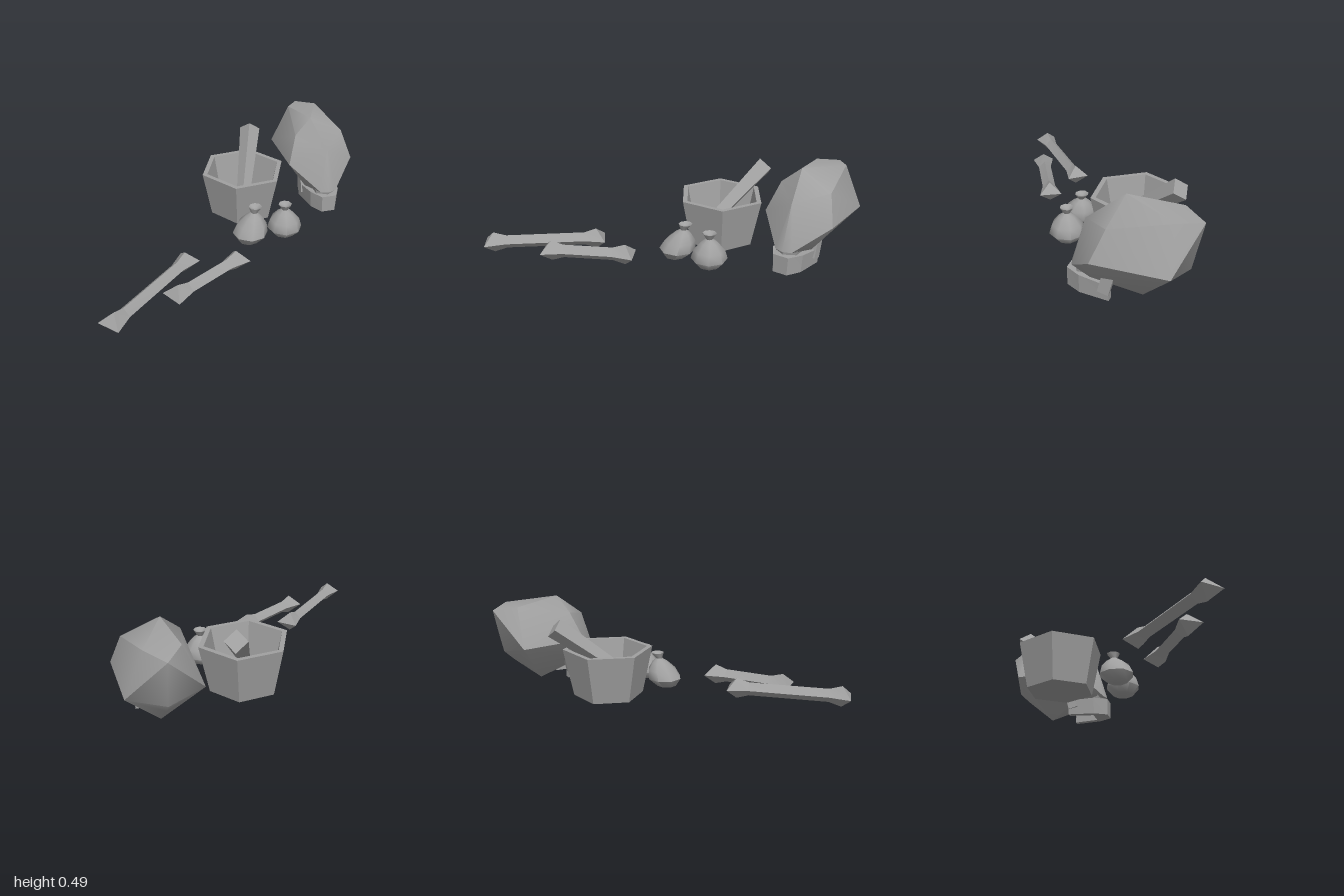
import * as THREE from 'three';
import { toCreasedNormals } from 'three/addons/utils/BufferGeometryUtils.js';
import { ConvexGeometry } from 'three/addons/geometries/ConvexGeometry.js';

const V = (x, y, z) => new THREE.Vector3(x, y, z);
const profile = (pts) => pts.map(([r, y]) => new THREE.Vector2(r, y));

export function createModel() {
  const model = new THREE.Group();
  const stone = new THREE.MeshStandardMaterial({ color: 0xa0a0a0 });
  stone.name = 'plain grey';

  const add = (parent, name, geometry, crease) => {
    const mesh = new THREE.Mesh(toCreasedNormals(geometry, crease), stone);
    mesh.name = name;
    parent.add(mesh);
    return mesh;
  };

  // Bones: diamond section, flared ends closing in a horizontal edge
  const addBone = (name, x1, z1, x2, z2) => {
    const half = Math.hypot(x2 - x1, z2 - z1) / 2;
    const geo = new THREE.CylinderGeometry(1, 1, 1, 4, 3).rotateZ(Math.PI / 2);
    const p = geo.attributes.position;
    for (let i = 0; i < p.count; i++) {
      const x = p.getX(i), y = p.getY(i), z = p.getZ(i);
      const end = Math.abs(x) > 0.4;
      const reach = end ? half - 0.045 * Math.abs(y) : half - 0.11;
      p.setXYZ(i, Math.sign(x) * reach, y * (end ? 0.056 : 0.036), z * (end ? 0.06 : 0.036));
    }
    const bone = add(model, name, geo, 0.2);
    bone.position.set((x1 + x2) / 2, 0.073, (z1 + z2) / 2);
    bone.rotation.y = Math.atan2(z1 - z2, x2 - x1);
  };
  addBone('longBone', -0.992, 0.14, -0.366, 0.06);
  addBone('shortBone', -0.668, 0.215, -0.192, 0.258);

  // Hexagonal mortar, hollow
  const mortar = add(model, 'mortar', new THREE.LatheGeometry(profile([
    [0, 0.013], [0.187, 0.013], [0.24, 0.27], [0.212, 0.27], [0.165, 0.05], [0, 0.05],
  ]), 6), 0.2);
  mortar.position.set(0.26, 0, -0.102);

  // Square tapered pestle leaning on the rim
  const low = V(0.16, 0.085, -0.025), high = V(0.5, 0.39, -0.243);
  const axis = high.clone().sub(low);
  const pestle = add(model, 'pestle', new THREE.CylinderGeometry(0.057, 0.034, axis.length(), 4), 0.2);
  axis.normalize();
  const side = V(-0.035, 0.045, 0.023);
  const third = side.clone().cross(axis).normalize();
  side.crossVectors(axis, third);
  pestle.quaternion.setFromRotationMatrix(new THREE.Matrix4().makeBasis(side, axis, third));
  pestle.position.copy(low).add(high).multiplyScalar(0.5);

  // Tied pouches, with the neck leaning sideways
  const addPouch = (name, x, z, lean) => {
    const geo = new THREE.LatheGeometry(profile([
      [0, 0.002], [0.055, 0.014], [0.095, 0.058], [0.08, 0.105], [0.045, 0.145],
      [0.017, 0.166], [0.036, 0.198], [0.016, 0.185], [0, 0.178],
    ]), 8);
    const p = geo.attributes.position;
    for (let i = 0; i < p.count; i++) p.setX(i, p.getX(i) + lean * p.getY(i));
    add(model, name, geo, 1.0).position.set(x, 0, z);
  };
  addPouch('leaningPouch', 0.01, 0.138, 0.3);
  addPouch('uprightPouch', 0.193, 0.245, 0);

  // Skull, built facing its own +z and then turned
  const skull = new THREE.Group();
  skull.name = 'skull';
  skull.position.set(0.643, 0, 0.17);
  skull.rotation.y = -35 * Math.PI / 180;
  model.add(skull);

  const points = [
    V(-0.043, 0.49, -0.09), V(0, 0.36, 0.085), V(0, 0.2, 0.12), V(0, 0.125, 0.155),
    V(0, 0.44, -0.455), V(0, 0.2, -0.405), V(0, 0.146, -0.35), V(0, 0.01, -0.19),
  ];
  for (const s of [-1, 1]) {
    points.push(
      V(s * 0.19, 0.25, 0), V(s * 0.18, 0.243, -0.36), V(s * 0.085, 0.46, -0.346),
      V(s * 0.14, 0.405, -0.06), V(s * 0.1, 0.12, 0.03), V(s * 0.045, 0.125, 0.14),
    );
  }
  add(skull, 'cranium', new ConvexGeometry(points), 0.7);

  // U-shaped jaw
  const outline = [
    [0.105, -0.06], [0.085, 0.09], [0.042, 0.165], [-0.042, 0.165], [-0.085, 0.09], [-0.105, -0.06],
    [-0.072, -0.06], [-0.05, 0.08], [0.05, 0.08], [0.072, -0.06],
  ];
  const jawShape = new THREE.Shape(outline.map(([x, z]) => new THREE.Vector2(x, -z)));
  const jawGeo = new THREE.ExtrudeGeometry(jawShape, { depth: 0.085, bevelEnabled: false });
  jawGeo.rotateX(-Math.PI / 2).translate(0, 0.008, 0);
  const jp = jawGeo.attributes.position;
  for (let i = 0; i < jp.count; i++) {
    // The front bulges upward, the lower edge draws in
    if (jp.getY(i) < 0.02) jp.setX(i, jp.getX(i) * 0.93);
    else if (jp.getZ(i) > 0.07) jp.setY(i, 0.105);
  }
  add(skull, 'jaw', jawGeo, 0.3);

  // Upright hinges at the back of the jaw
  for (const s of [-1, 1]) {
    const hinge = add(skull, 'jawHinge', new THREE.BoxGeometry(0.03, 0.1, 0.055), 0.3);
    hinge.position.set(s * 0.09, 0.095, -0.045);
    hinge.rotation.x = -0.25;
  }

  // Upper teeth block between face and jaw
  const teeth = add(skull, 'upperTeeth', new THREE.CylinderGeometry(0.075, 0.065, 0.04, 6), 0.3);
  teeth.position.set(0, 0.115, 0.075);
  return model;
}
